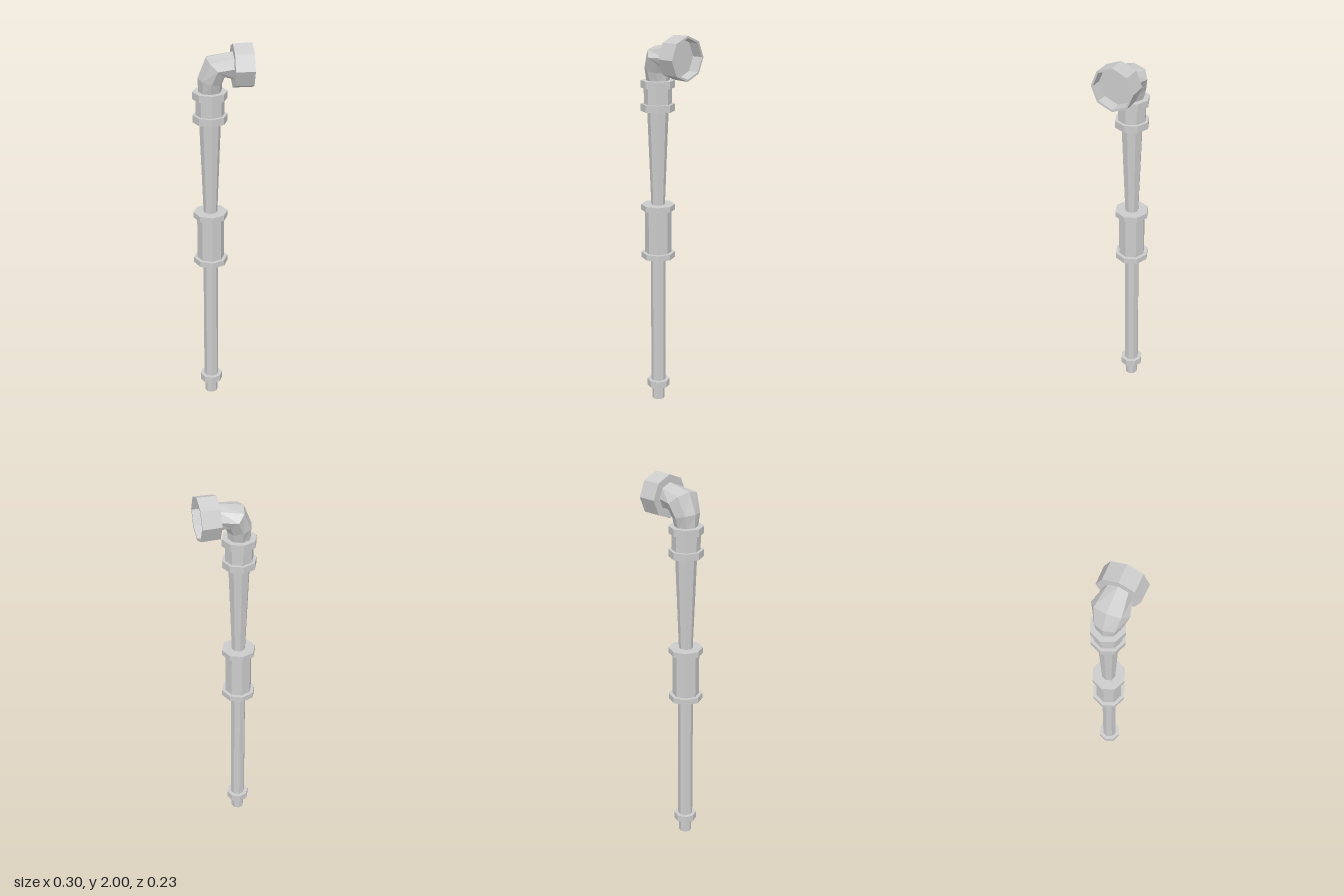
import * as THREE from 'three';

const SIDES = 8;
const AXIS_X = -0.061;
const HEAD_Y = 1.887;
const material = new THREE.MeshStandardMaterial({ color: 0xcccccc, flatShading: true });

// Lofts eight-sided rings; each ring is [x, y, tilt, inPlaneRadius, zRadius].
function loft(rings) {
  const positions = [];
  const index = [];
  rings.forEach(([x, y, tilt, r, rz], i) => {
    for (let j = 0; j < SIDES; j++) {
      const a = (j / SIDES) * Math.PI * 2;
      const d = r * Math.cos(a);
      positions.push(x + d * Math.cos(tilt), y - d * Math.sin(tilt), rz * Math.sin(a));
      if (i === 0) continue;
      const k = (j + 1) % SIDES;
      const lo = (i - 1) * SIDES;
      const hi = i * SIDES;
      index.push(lo + j, hi + j, lo + k, lo + k, hi + j, hi + k);
    }
  });
  const geometry = new THREE.BufferGeometry();
  geometry.setAttribute('position', new THREE.Float32BufferAttribute(positions, 3));
  geometry.setIndex(index);
  geometry.computeVertexNormals();
  return geometry;
}

export function createModel() {
  const group = new THREE.Group();
  const add = (name, geometry) => {
    const mesh = new THREE.Mesh(geometry, material);
    mesh.name = name;
    group.add(mesh);
    return mesh;
  };

  // Upright column: name, bottom y, top y, bottom radius, top radius
  const column = [
    ['footNub', 0, 0.075, 0.034, 0.034],
    ['footCollar', 0.075, 0.112, 0.06, 0.06],
    ['lowerShaft', 0.112, 0.82, 0.039, 0.039],
    ['middleLowerFlange', 0.818, 0.848, 0.089, 0.089],
    ['middleSleeve', 0.848, 1.08, 0.07, 0.07],
    ['middleUpperFlange', 1.08, 1.11, 0.089, 0.089],
    ['taperedShaft', 1.11, 1.605, 0.036, 0.055],
    ['topLowerFlange', 1.605, 1.642, 0.088, 0.088],
    ['topSleeve', 1.642, 1.725, 0.072, 0.072],
    ['topUpperFlange', 1.725, 1.762, 0.088, 0.088],
  ];
  for (const [name, y0, y1, r0, r1] of column) {
    add(name, new THREE.CylinderGeometry(r1, r0, y1 - y0, SIDES))
      .position.set(AXIS_X, (y0 + y1) / 2, 0);
  }

  // Elbow turning from the column towards +x
  add('elbow', loft([
    [AXIS_X, 1.755, 0, 0.058, 0.058],
    [AXIS_X, 1.815, 0.25, 0.063, 0.075],
    [-0.033, 1.886, Math.PI / 4, 0.068, 0.095],
    [0.055, HEAD_Y + 0.002, Math.PI / 2, 0.07, 0.07],
  ]));

  // Hollow head, open towards +x
  const profile = [[0, 0.052], [0.111, 0.052], [0.113, 0.148], [0.102, 0.148], [0.1, 0.09], [0, 0.09]];
  const head = new THREE.LatheGeometry(profile.map(([r, h]) => new THREE.Vector2(r, h)), SIDES);
  head.rotateZ(-Math.PI / 2);
  add('head', head).position.y = HEAD_Y;

  return group;
}
